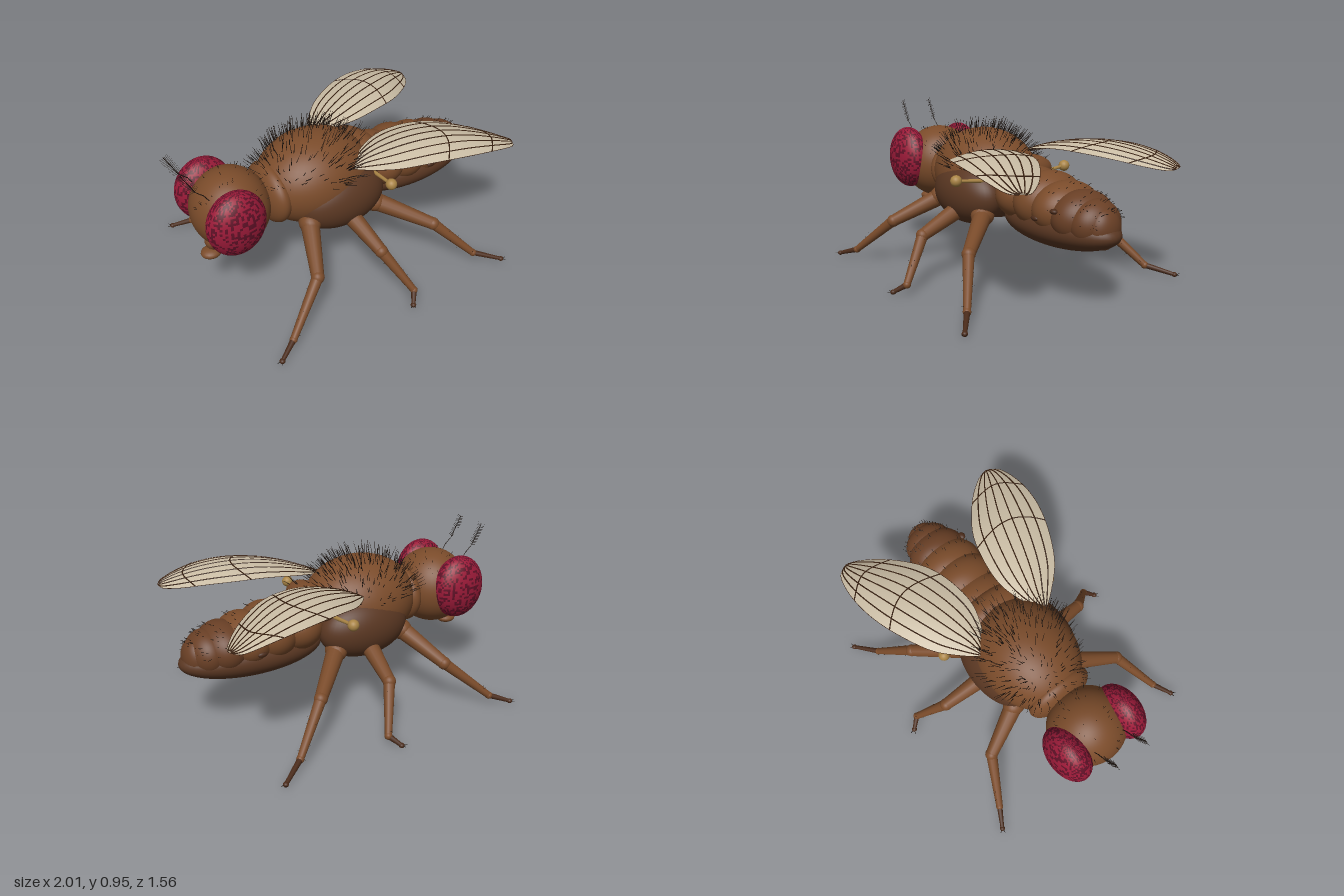
import * as THREE from 'three';
import { mergeGeometries } from 'three/addons/utils/BufferGeometryUtils.js';

const mat = (name, color, side = THREE.FrontSide) => {
  const m = new THREE.MeshStandardMaterial({ color, side });
  m.name = name;
  return m;
};
const V = (x, y, z) => new THREE.Vector3(x, y, z);

export function createModel() {
  const fly = new THREE.Group();
  fly.name = 'fly';
  const M = {
    body: mat('brown', 0x7a4b2a),
    tail: mat('tail brown', 0x693f25),
    dark: mat('dark brown', 0x5a3722),
    foot: mat('foot brown', 0x4a2b1a),
    eye: mat('crimson', 0x9a1a38),
    eyeDark: mat('deep crimson', 0x5e1026),
    wing: mat('wing beige', 0xcabda5, THREE.DoubleSide),
    vein: mat('vein brown', 0x3a2212),
    hair: mat('bristle black', 0x1c130d),
    gold: mat('haltere gold', 0xa98445),
  };
  let seed = 7;
  const rnd = () => (seed = (seed * 16807) % 2147483647) / 2147483647;

  const add = (name, geo, m, parent = fly) => {
    const mesh = new THREE.Mesh(geo, m);
    mesh.name = name;
    parent.add(mesh);
    return mesh;
  };
  const ball = (name, c, r, m, parent) => {
    const geo = Math.max(...r) > 0.08 ? new THREE.SphereGeometry(1, 48, 32) : new THREE.SphereGeometry(1, 20, 14);
    const mesh = add(name, geo, m, parent);
    mesh.position.set(...c);
    mesh.scale.set(...r);
    return mesh;
  };
  // tapered rod geometry between two points
  const rod = (a, b, r0, r1, sides = 14) => {
    const d = b.clone().sub(a);
    const g = new THREE.CylinderGeometry(r1, r0, d.length(), sides);
    g.translate(0, d.length() / 2, 0);
    g.applyQuaternion(new THREE.Quaternion().setFromUnitVectors(V(0, 1, 0), d.normalize()));
    return g.translate(a.x, a.y, a.z);
  };
  const hair = (p, dir, len, r = 0.0024) => rod(p, p.clone().addScaledVector(dir.clone().normalize(), len), r, r * 0.3, 4);

  // bristles scattered over the upper part of an ellipsoid
  const scatter = (name, c, r, count, minUp, len, lean, thick, accept = () => true) => {
    const list = [];
    for (let tries = 0; list.length < count && tries < count * 20; tries++) {
      const y = minUp + (1 - minUp) * rnd(), a = rnd() * Math.PI * 2, s = Math.sqrt(1 - y * y);
      const n = V(s * Math.cos(a), y, s * Math.sin(a));
      if (!accept(n)) continue;
      const p = V(c[0] + r[0] * n.x, c[1] + r[1] * n.y, c[2] + r[2] * n.z);
      const dir = V(n.x / r[0], n.y / r[1], n.z / r[2]).normalize();
      dir.add(V(lean + (rnd() - 0.5) * 0.4, 0.2, (rnd() - 0.5) * 0.4));
      list.push(hair(p, dir, len * (0.6 + 0.6 * rnd()), thick));
    }
    add(name, mergeGeometries(list), M.hair);
  };

  // head, neck and thorax
  const headC = [-0.69, 0.56, 0], headR = [0.225, 0.232, 0.235];
  const thorC = [-0.15, 0.575, 0], thorR = [0.355, 0.268, 0.29];
  const scutC = [0.18, 0.63, 0], scutR = [0.108, 0.1, 0.235];
  ball('head', headC, headR, M.body);
  ball('neck', [-0.44, 0.56, 0], [0.09, 0.175, 0.205], M.body);
  ball('thorax', thorC, thorR, M.body);
  ball('underThorax', [-0.08, 0.45, 0], [0.27, 0.135, 0.22], M.dark);
  ball('scutellum', scutC, scutR, M.body);
  scatter('thoraxBristles', thorC, thorR, 340, 0.2, 0.075, 0.3, 0.0024);
  scatter('scutellumBristles', scutC, scutR, 16, 0.3, 0.05, 0.6, 0.0022);
  scatter('headBristles', headC, headR, 45, 0.3, 0.022, 0.2, 0.0018, n => Math.abs(n.z) < 0.5 || n.x > 0.3);

  // abdomen: overlapping rings, each with a few short hairs
  const rings = [
    [0.30, 0.525, 0.165, 0.155, 0.215], [0.46, 0.515, 0.165, 0.165, 0.212], [0.61, 0.5, 0.155, 0.15, 0.205],
    [0.74, 0.48, 0.143, 0.145, 0.185], [0.835, 0.465, 0.115, 0.13, 0.15], [0.9, 0.45, 0.075, 0.11, 0.1],
  ];
  rings.forEach(([x, y, rx, ry, rz], i) => {
    ball('abdomenRing', [x, y, 0], [rx, ry, rz], i < 3 ? M.body : M.tail);
    scatter('abdomenHairs', [x, y, 0], [rx, ry, rz], i < 3 ? 14 : 20, 0.1, 0.022, 1.2, 0.002, n => n.x > 0.1 && n.x < 0.6);
  });
  ball('belly', [0.56, 0.405, 0], [0.435, 0.12, 0.19], M.dark).rotation.z = 0.03;

  // mouthparts
  ball('snout', [-0.81, 0.375, 0], [0.05, 0.055, 0.05], M.body);
  add('proboscis', rod(V(-0.8, 0.38, 0), V(-0.825, 0.3, 0), 0.03, 0.024), M.body);
  ball('mouthPad', [-0.83, 0.298, 0], [0.06, 0.03, 0.055], M.body);

  // eye surface split into two scattered facet colours
  const eyeFacets = () => {
    const base = new THREE.SphereGeometry(1, 64, 44), idx = base.index.array, sets = [[], []];
    for (let i = 0; i < idx.length; i += 6) sets[rnd() < 0.42 ? 1 : 0].push(...idx.slice(i, i + 6));
    return sets.map(s => base.clone().setIndex(s));
  };

  // wing: outline halves share one parameter, so constant v follows a vein
  const d = [0.952, 0.304];
  const edge = pts => new THREE.SplineCurve(pts.map(([u, v]) =>
    new THREE.Vector2(-0.03 + 0.987 * u * d[0] - v * d[1], 0.22 + 0.987 * u * d[1] + v * d[0])));
  const inner = edge([[0, -0.012], [0.1, -0.12], [0.23, -0.2], [0.42, -0.235], [0.6, -0.225], [0.82, -0.148], [0.96, -0.06], [1.0, 0]]);
  const outer = edge([[0, 0.015], [0.1, 0.085], [0.25, 0.16], [0.45, 0.195], [0.64, 0.195], [0.82, 0.155], [0.97, 0.08], [1.0, 0]]);
  // arched along its length and across its width
  const wingPoint = (t, v, s) => {
    const p = inner.getPoint(t).lerp(outer.getPoint(t), v);
    const camber = 0.035 * (2 * v - 1) ** 2 * Math.sin(Math.PI * t);
    return V(p.x, 0.81 - 0.51 * (p.x - 0.45) ** 2 - camber, p.y * s);
  };
  const wingSheet = s => {
    const nu = 48, nv = 12, g = new THREE.PlaneGeometry(1, 1, nu, nv), pos = g.attributes.position;
    for (let j = 0, k = 0; j <= nv; j++)
      for (let i = 0; i <= nu; i++, k++) pos.setXYZ(k, ...wingPoint(i / nu, s > 0 ? j / nv : 1 - j / nv, s).toArray());
    g.computeVertexNormals();
    return g;
  };
  const veinTube = (fn, r, n = 28) => new THREE.TubeGeometry(
    new THREE.CatmullRomCurve3(Array.from({ length: n + 1 }, (_, i) => fn(i / n))), n * 2, r, 5);

  const legs = {
    frontLeg: [[-0.31, 0.42, 0.22], [-0.435, 0.275, 0.49], [-0.68, 0.055, 0.625], [-0.79, 0.016, 0.69]],
    middleLeg: [[-0.06, 0.4, 0.24], [-0.025, 0.285, 0.52], [0.09, 0.06, 0.69], [0.042, 0.016, 0.75]],
    hindLeg: [[0.14, 0.39, 0.22], [0.39, 0.275, 0.48], [0.6, 0.055, 0.63], [0.74, 0.014, 0.735]],
  };

  for (const s of [1, -1]) {
    const side = s > 0 ? 'left' : 'right';
    ball(side + 'SidePlate', [-0.07, 0.485, s * 0.175], [0.285, 0.182, 0.158], M.dark);

    // compound eye
    eyeFacets().forEach((g, i) => {
      const e = add(side + (i ? 'EyeDarkFacets' : 'EyeFacets'), g, i ? M.eyeDark : M.eye);
      e.position.set(-0.75, 0.595, s * 0.195);
      e.scale.set(0.172, 0.195, 0.11);
    });

    // feathered antenna
    const a = [V(-0.85, 0.725, s * 0.1), V(-0.875, 0.765, s * 0.1), V(-0.92, 0.805, s * 0.1), V(-0.99, 0.935, s * 0.1)];
    const feather = [0, 1, 2].map(i => rod(a[i], a[i + 1], 0.003, 0.002, 5));
    for (let i = 0; i < 14; i++) {
      const p = a[2].clone().lerp(a[3], 0.04 + i * 0.07);
      for (const q of [1, -1]) feather.push(hair(p, V(-0.14 + q * 0.88, 0.26 + q * 0.47, 0), 0.03, 0.0014));
    }
    add(side + 'Antenna', mergeGeometries(feather), M.hair);

    // haltere
    add(side + 'HaltereStalk', rod(V(0.14, 0.59, s * 0.2), V(0.13, 0.61, s * 0.39), 0.012, 0.009), M.gold);
    ball(side + 'HaltereKnob', [0.13, 0.61, s * 0.388], [0.033, 0.033, 0.033], M.gold);

    // spiracles
    ball(side + 'Spiracle', [0.59, 0.47, s * 0.2], [0.028, 0.014, 0.012], M.foot);
    ball(side + 'RearSpiracle', [0.72, 0.53, s * 0.178], [0.025, 0.014, 0.02], M.foot);

    // wing with lengthwise veins and two cross veins
    add(side + 'Wing', wingSheet(s), M.wing);
    const veins = [0.12, 0.27, 0.42, 0.57, 0.72, 0.87].map(v => veinTube(t => wingPoint(t * 0.95, v, s), 0.004));
    for (const [t, bow] of [[0.47, 0.06], [0.69, 0.05]])
      veins.push(veinTube(v => wingPoint(t + bow * Math.sin(v * Math.PI), v, s), 0.004, 12));
    for (const v of [0, 1]) veins.push(veinTube(t => wingPoint(t, v, s), 0.0016));
    add(side + 'WingVeins', mergeGeometries(veins), M.vein);

    // legs: thigh, shin, foot, claws and fine hairs
    for (const [name, pts] of Object.entries(legs)) {
      const leg = new THREE.Group();
      leg.name = side + name[0].toUpperCase() + name.slice(1);
      fly.add(leg);
      const [hip, knee, ankle, toe] = pts.map(p => V(p[0], p[1], p[2] * s));
      ball('hip', hip.toArray(), [0.062, 0.062, 0.07], M.body, leg);
      add('thigh', rod(hip, knee, 0.055, 0.036), M.body, leg);
      ball('knee', knee.toArray(), [0.038, 0.038, 0.038], M.body, leg);
      add('shin', rod(knee, ankle, 0.033, 0.02), M.body, leg);
      ball('ankle', ankle.toArray(), [0.022, 0.022, 0.022], M.body, leg);
      add('foot', rod(ankle, toe, 0.017, 0.011), M.foot, leg);
      ball('toe', toe.toArray(), [0.016, 0.014, 0.016], M.foot, leg);
      const out = toe.clone().sub(ankle).setY(0).normalize();
      const fine = [0.5, -0.5].map(q => hair(toe, V(out.x - out.z * q, 0.1, out.z + out.x * q), 0.032, 0.0035));
      for (let i = 0; i < 16; i++) {
        const dir = V(rnd() - 0.5, rnd() - 0.5, rnd() - 0.5).normalize();
        fine.push(hair(knee.clone().lerp(ankle, 0.1 + i * 0.055), dir, 0.04, 0.0016));
      }
      add('legHairs', mergeGeometries(fine), M.hair, leg);
    }
  }
  return fly;
}
